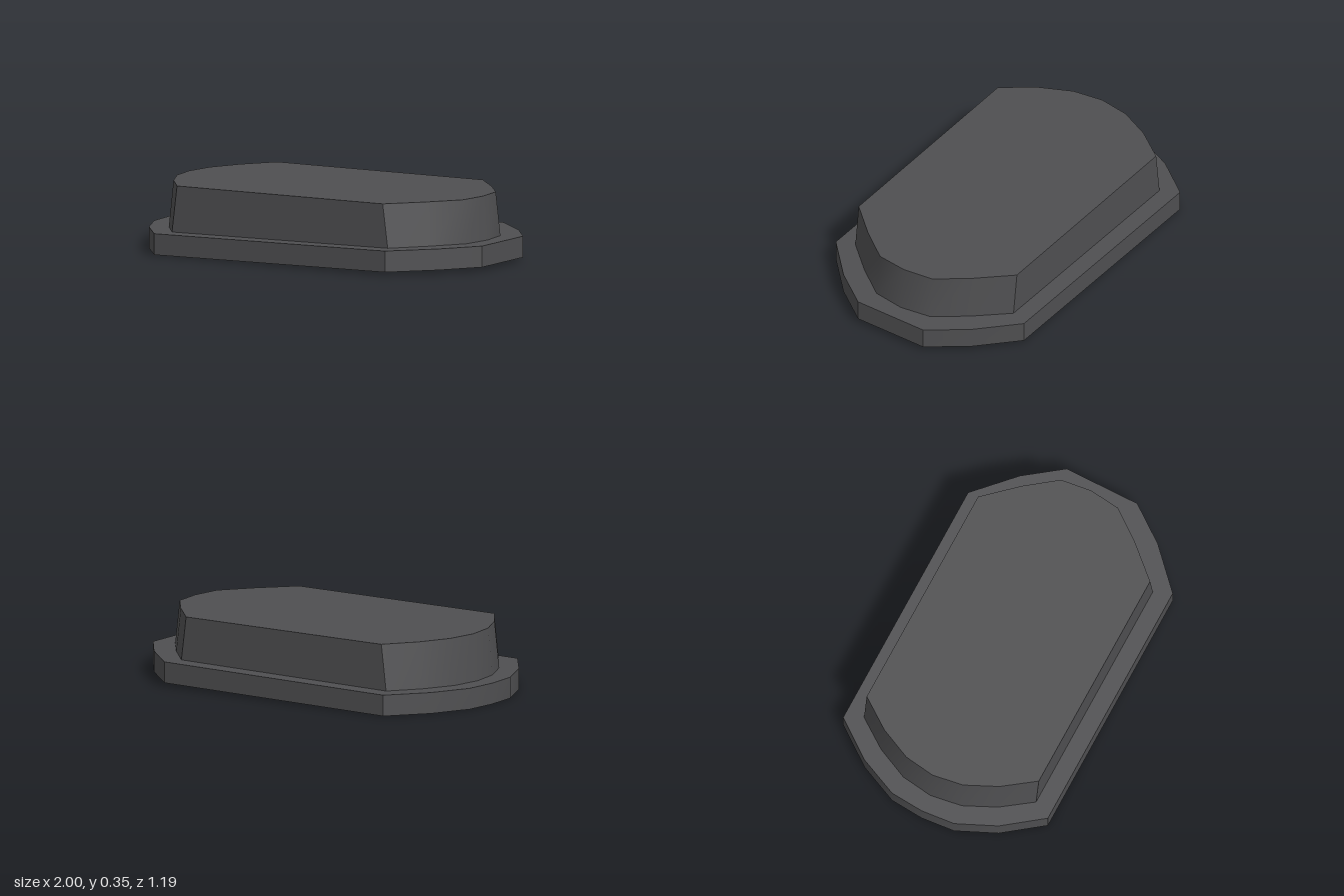
import * as THREE from 'three';
import { toCreasedNormals } from 'three/addons/utils/BufferGeometryUtils.js';

// Mirror a front half outline (left end to right end) into a full loop of [x, z]
function fullOutline(half) {
  const back = half.filter(p => p[1] > 0).reverse().map(([x, z]) => [x, -z]);
  return [...half, ...back];
}

// Loft between two outlines with equal point counts; heights are functions of x
function loft(lower, lowerY, upper, upperY, closeBottom) {
  const pos = [];
  const lo = lower.map(([x, z]) => [x, lowerY(x), z]);
  const up = upper.map(([x, z]) => [x, upperY(x), z]);
  const tri = (a, b, c) => pos.push(...a, ...b, ...c);
  const n = lo.length;
  for (let i = 0; i < n; i++) {
    const j = (i + 1) % n;
    tri(lo[i], lo[j], up[j]);
    tri(lo[i], up[j], up[i]);
    if (i > 0 && i < n - 1) {
      tri(up[0], up[i], up[j]);
      if (closeBottom) tri(lo[0], lo[j], lo[i]);
    }
  }
  const geo = new THREE.BufferGeometry();
  geo.setAttribute('position', new THREE.Float32BufferAttribute(pos, 3));
  return toCreasedNormals(geo, THREE.MathUtils.degToRad(33));
}

export function createModel() {
  const group = new THREE.Group();
  group.name = 'steppedPad';
  const darkGrey = new THREE.MeshStandardMaterial({ color: 0x4f4f51 });
  darkGrey.name = 'darkGrey';

  // The base slab rises slightly towards +x
  const slabBottom = x => 0.01 + 0.01 * x;
  const slabTop = x => 0.12 + 0.01 * x;

  // Base slab: rounded left end, blunt right end
  const baseOutline = fullOutline([
    [-1, 0], [-0.985, 0.18], [-0.89, 0.39], [-0.735, 0.595],
    [0.65, 0.595], [0.855, 0.4], [1, 0.205],
  ]);
  const base = new THREE.Mesh(loft(baseOutline, slabBottom, baseOutline, slabTop, true), darkGrey);
  base.name = 'baseSlab';

  // Raised block: ends taper inward, top is level
  const blockLower = fullOutline([
    [-0.905, 0], [-0.88, 0.17], [-0.8, 0.34], [-0.685, 0.5],
    [0.61, 0.5], [0.76, 0.335], [0.885, 0.17], [0.91, 0],
  ]);
  const blockUpper = fullOutline([
    [-0.88, 0], [-0.855, 0.165], [-0.775, 0.335], [-0.655, 0.5],
    [0.58, 0.5], [0.735, 0.33], [0.86, 0.165], [0.88, 0],
  ]);
  const block = new THREE.Mesh(loft(blockLower, slabTop, blockUpper, () => 0.355, false), darkGrey);
  block.name = 'raisedBlock';

  group.add(base, block);
  return group;
}
